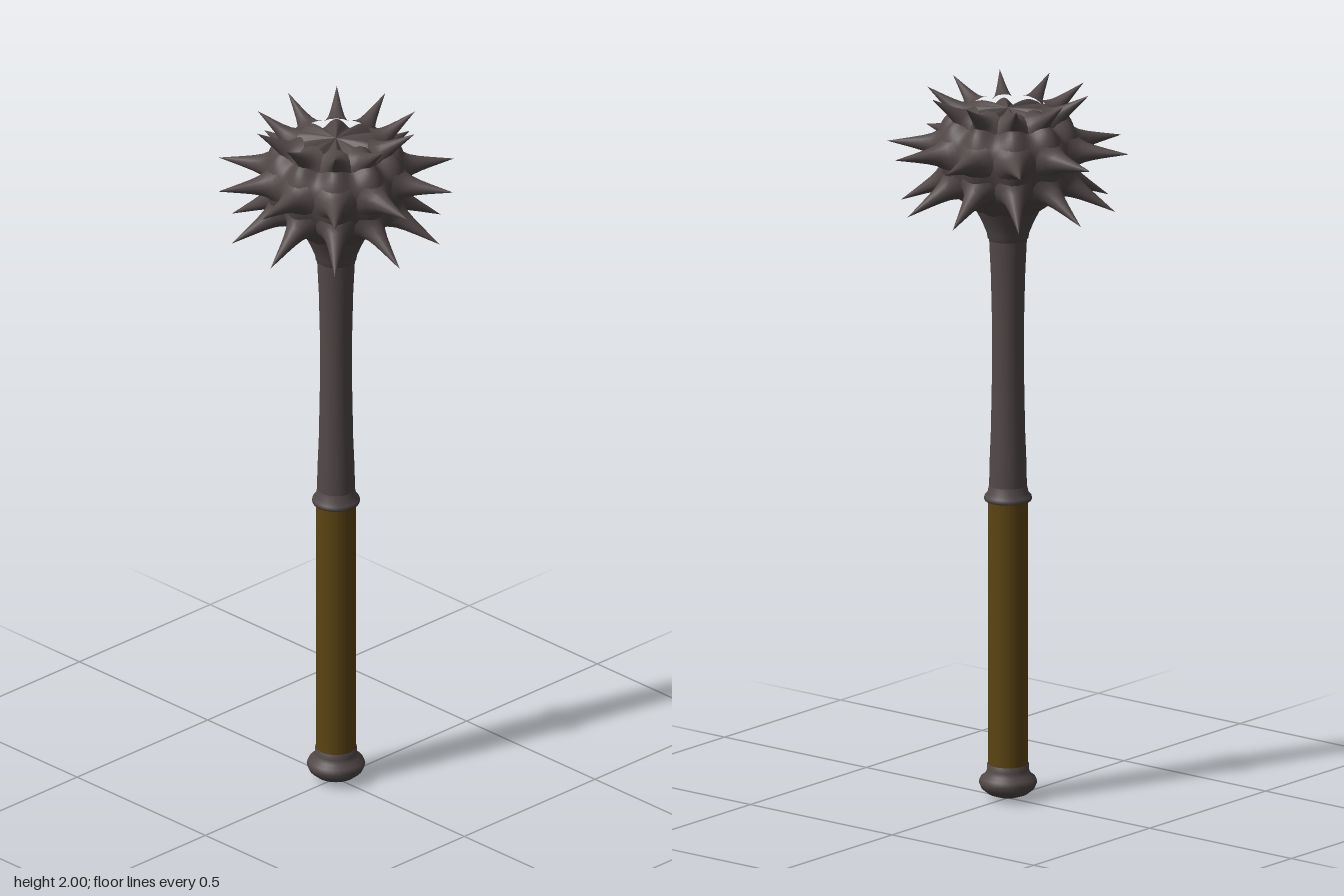
import * as THREE from 'three';

const iron = new THREE.MeshStandardMaterial({ color: 0x524848 });
const wood = new THREE.MeshStandardMaterial({ color: 0x5c4412 });

const SPIKES = 10;                         // spikes per ring
const START = THREE.MathUtils.degToRad(9); // angle of the first spike
const CORE_Y = 1.84;                       // height all spikes radiate from

function lathe(name, profile, material, segments = 32) {
  const points = profile.map(([r, y]) => new THREE.Vector2(r, y));
  const mesh = new THREE.Mesh(new THREE.LatheGeometry(points, segments), material);
  mesh.name = name;
  return mesh;
}

// Round head whose upper half swells into ridges that run out to the spikes
function createHeadCore() {
  const outline = new THREE.SplineCurve([
    [0.085, 1.665], [0.13, 1.7], [0.17, 1.75], [0.19, 1.81], [0.192, 1.86],
    [0.172, 1.905], [0.13, 1.932], [0.07, 1.947], [0, 1.953],
  ].map(([r, y]) => new THREE.Vector2(r, y))).getPoints(32);
  outline[outline.length - 1].x = 0;
  const geometry = new THREE.LatheGeometry(outline, 120);
  const position = geometry.attributes.position;
  for (let i = 0; i < position.count; i++) {
    const x = position.getX(i), y = position.getY(i), z = position.getZ(i);
    const r = Math.hypot(x, z);
    const wave = Math.cos(SPIKES * (Math.atan2(z, x) - START));
    const top = THREE.MathUtils.smoothstep(y, 1.86, 1.92);
    const swell = 1 + 0.035 * wave;
    position.setXYZ(i, x * swell, y + 0.012 * wave * top * Math.min(1, r / 0.1), z * swell);
  }
  geometry.computeVertexNormals();
  const mesh = new THREE.Mesh(geometry, iron);
  mesh.name = 'headCore';
  return mesh;
}

// Ring of flared spikes, all pointing away from the middle of the head
function createSpikeRing(name, tipRadius, tipY, baseDistance, width) {
  const ring = new THREE.Group();
  ring.name = name;
  const length = Math.hypot(tipRadius, tipY - CORE_Y);
  const along = (t) => baseDistance + (length - baseDistance) * t;
  const profile = [
    [1.75, 0], [1.2, 0.1], [0.88, 0.22], [0.64, 0.38], [0.42, 0.58], [0.2, 0.8], [0, 1],
  ].map(([w, t]) => new THREE.Vector2(w * width, along(t)));
  const geometry = new THREE.LatheGeometry(profile, 16);
  for (let i = 0; i < SPIKES; i++) {
    const a = START + (i * Math.PI * 2) / SPIKES;
    const direction = new THREE.Vector3(
      tipRadius * Math.cos(a), tipY - CORE_Y, tipRadius * Math.sin(a)).normalize();
    const spike = new THREE.Mesh(geometry, iron);
    spike.name = 'spike';
    spike.position.y = CORE_Y;
    spike.quaternion.setFromUnitVectors(new THREE.Vector3(0, 1, 0), direction);
    ring.add(spike);
  }
  return ring;
}

export function createModel() {
  const model = new THREE.Group();
  model.name = 'spikedMace';

  // Handle, from the bottom up
  model.add(lathe('pommel', [
    [0, 0], [0.03, 0.006], [0.055, 0.015], [0.073, 0.03], [0.08, 0.047],
    [0.075, 0.06], [0.062, 0.07], [0.057, 0.082], [0.057, 0.098], [0.05, 0.098],
  ], iron));
  model.add(lathe('grip', [[0.055, 0.09], [0.055, 0.85]], wood));
  model.add(lathe('collar', [
    [0.05, 0.842], [0.064, 0.844], [0.066, 0.85], [0.064, 0.857],
    [0.056, 0.866], [0.052, 0.885], [0.045, 0.9],
  ], iron));
  model.add(lathe('shaft', [
    [0.052, 0.86], [0.051, 0.94], [0.047, 1.04], [0.044, 1.2],
    [0.044, 1.35], [0.047, 1.48], [0.052, 1.585],
  ], iron));
  model.add(lathe('neck', [
    [0.05, 1.58], [0.056, 1.586], [0.058, 1.6], [0.07, 1.63],
    [0.085, 1.66], [0.098, 1.685], [0.11, 1.71],
  ], iron));

  // Head
  const head = new THREE.Group();
  head.name = 'head';
  head.add(
    createHeadCore(),
    createSpikeRing('upperSpikes', 0.226, 2.0, 0.15, 0.027),
    createSpikeRing('middleSpikes', 0.338, CORE_Y, 0.178, 0.033),
    createSpikeRing('lowerSpikes', 0.3, 1.675, 0.178, 0.033),
  );
  model.add(head);
  return model;
}
